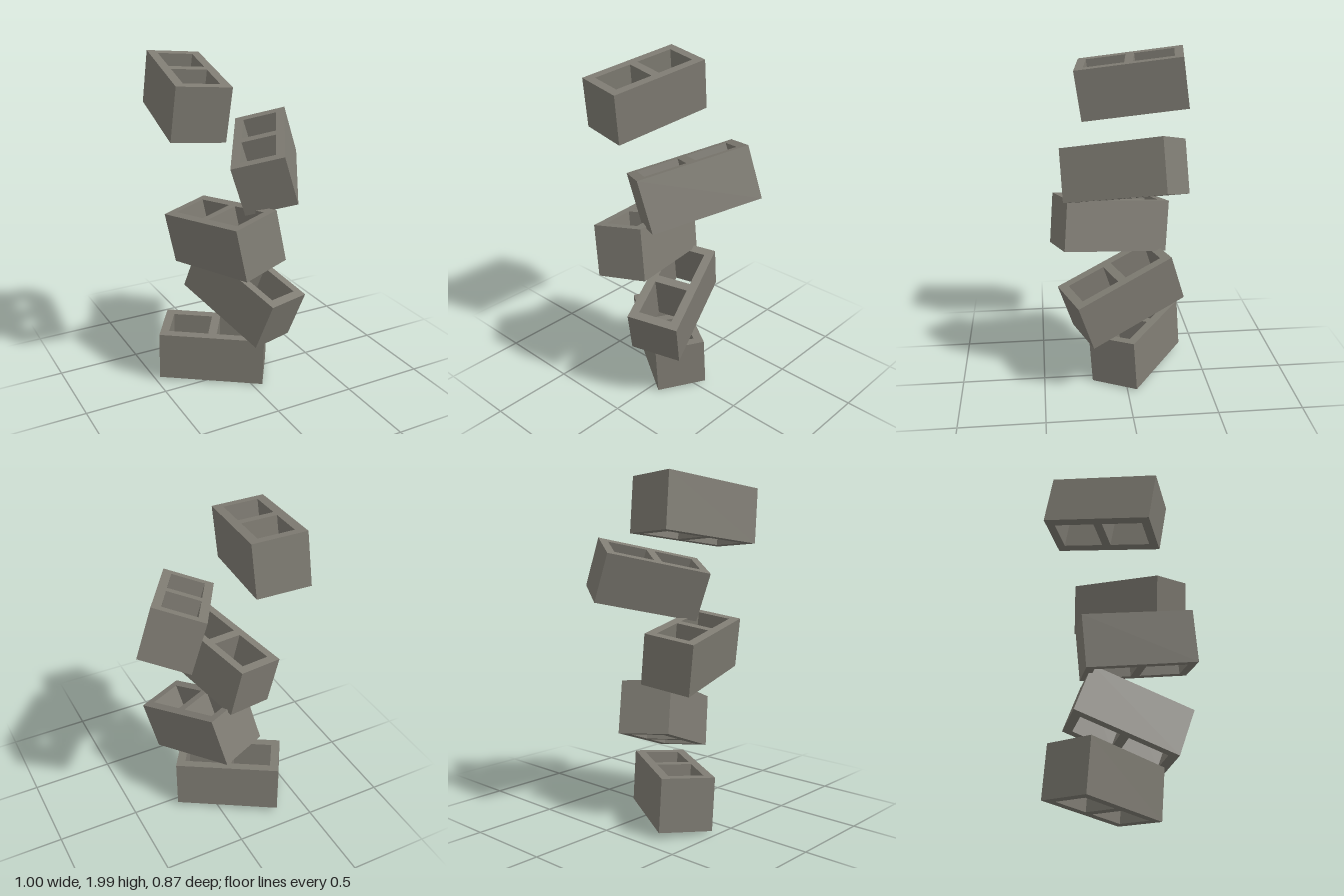
import * as THREE from 'three';

const LENGTH = 0.637, WIDTH = 0.306, HEIGHT = 0.306, WALL = 0.052;

const concrete = new THREE.MeshStandardMaterial({ color: 0x7f7c73 });
concrete.name = 'concrete grey';

// rectangle points, centred on (0, cy)
function rect(w, l, cy = 0) {
  return [[-1, -1], [1, -1], [1, 1], [-1, 1]].map(
    ([sx, sy]) => new THREE.Vector2(sx * w / 2, cy + sy * l / 2));
}

// hollow block with two open cells: x = width, y = height, z = length
function blockGeometry() {
  const shape = new THREE.Shape(rect(WIDTH, LENGTH));
  const cell = (LENGTH - 3 * WALL) / 2;
  for (const s of [-1, 1]) {
    const hole = rect(WIDTH - 2 * WALL, cell, s * (cell + WALL) / 2);
    shape.holes.push(new THREE.Path(hole.reverse()));
  }
  const geo = new THREE.ExtrudeGeometry(shape, { depth: HEIGHT, bevelEnabled: false });
  geo.translate(0, 0, -HEIGHT / 2);
  geo.rotateX(-Math.PI / 2);
  return geo;
}

// each tumbled block: centre, direction of its length, direction of its top
const POSES = [
  { name: 'bottomBlock', at: [-0.127, 0.181, -0.088], along: [0.532, -0.018, 0.342], up: [-0.002, 0.305, 0.02] },
  { name: 'secondBlock', at: [0.023, 0.588, 0.02], along: [0.195, -0.214, 0.556], up: [0.058, 0.289, 0.085] },
  { name: 'middleBlock', at: [-0.135, 0.985, 0.079], along: [0.154, 0.077, 0.614], up: [-0.052, 0.293, -0.026] },
  { name: 'fourthBlock', at: [0.168, 1.389, 0.018], along: [-0.313, -0.132, 0.539], up: [-0.1, 0.287, 0.014] },
  { name: 'topBlock', at: [-0.288, 1.795, -0.081], along: [-0.098, -0.085, 0.621], up: [0.018, 0.301, 0.051] },
];

export function createModel() {
  const group = new THREE.Group();
  group.name = 'tumblingBlocks';
  const geo = blockGeometry();
  for (const { name, at, along, up } of POSES) {
    const block = new THREE.Mesh(geo, concrete);
    block.name = name;
    // square up the axes, then turn the block onto them
    const z = new THREE.Vector3(...along).normalize();
    const x = new THREE.Vector3(...up).cross(z).normalize();
    const y = z.clone().cross(x);
    block.quaternion.setFromRotationMatrix(new THREE.Matrix4().makeBasis(x, y, z));
    block.position.set(...at);
    group.add(block);
  }
  return group;
}
